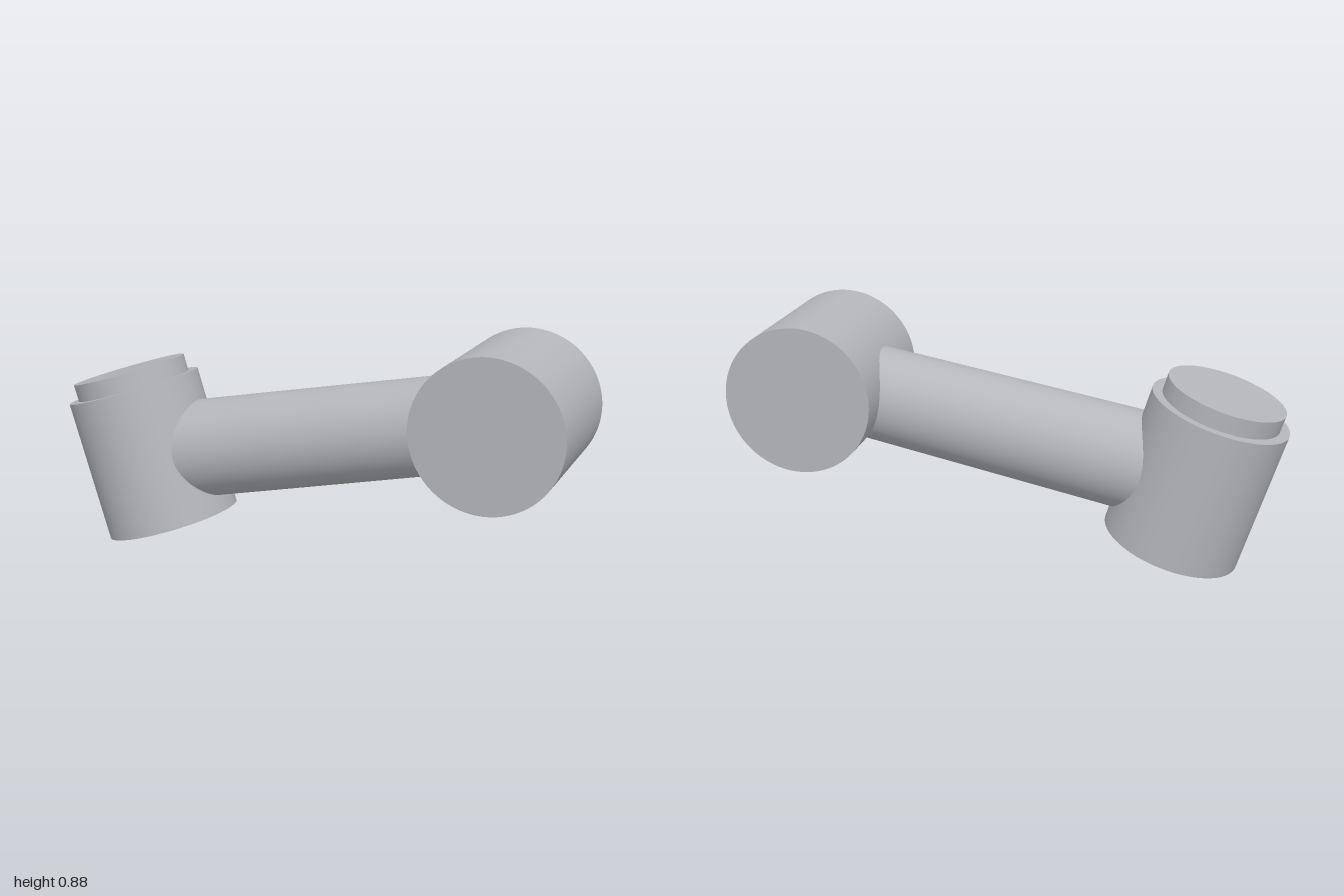
import * as THREE from 'three';

const SIDES = 96;

export function createModel() {
  const model = new THREE.Group();
  model.name = 'jointedArmLink';
  const grey = new THREE.MeshStandardMaterial({ color: 0xb4b6bb });
  grey.name = 'light grey';

  // Cylinder or cone running from point a to point b
  function rod(name, a, b, radiusA, radiusB = radiusA, depth = 1) {
    const from = new THREE.Vector3(...a);
    const to = new THREE.Vector3(...b);
    const dir = to.clone().sub(from);
    const geometry = new THREE.CylinderGeometry(radiusB, radiusA, dir.length(), SIDES);
    geometry.scale(1, 1, depth);
    const mesh = new THREE.Mesh(geometry, grey);
    mesh.name = name;
    mesh.position.copy(from).add(to).multiplyScalar(0.5);
    mesh.quaternion.setFromUnitVectors(new THREE.Vector3(0, 1, 0), dir.normalize());
    model.add(mesh);
  }

  // Tilted joint housing with its stepped cap
  const base = [-0.595, 0.0755, 0];
  const along = (t) => [base[0] - 0.2924 * t, base[1] + 0.9563 * t, 0];
  rod('tiltedJoint', base, along(0.544), 0.256);
  rod('jointCap', along(0.5), along(0.61), 0.219);

  // Slightly tapered oval arm joining the two axes
  rod('arm', [-0.675, 0.336, 0], [0.73, 0.611, 0], 0.1895, 0.174, 0.95);

  // Cross joint lying along z
  rod('crossJoint', [0.73, 0.611, -0.285], [0.73, 0.611, 0.285], 0.27);

  return model;
}
